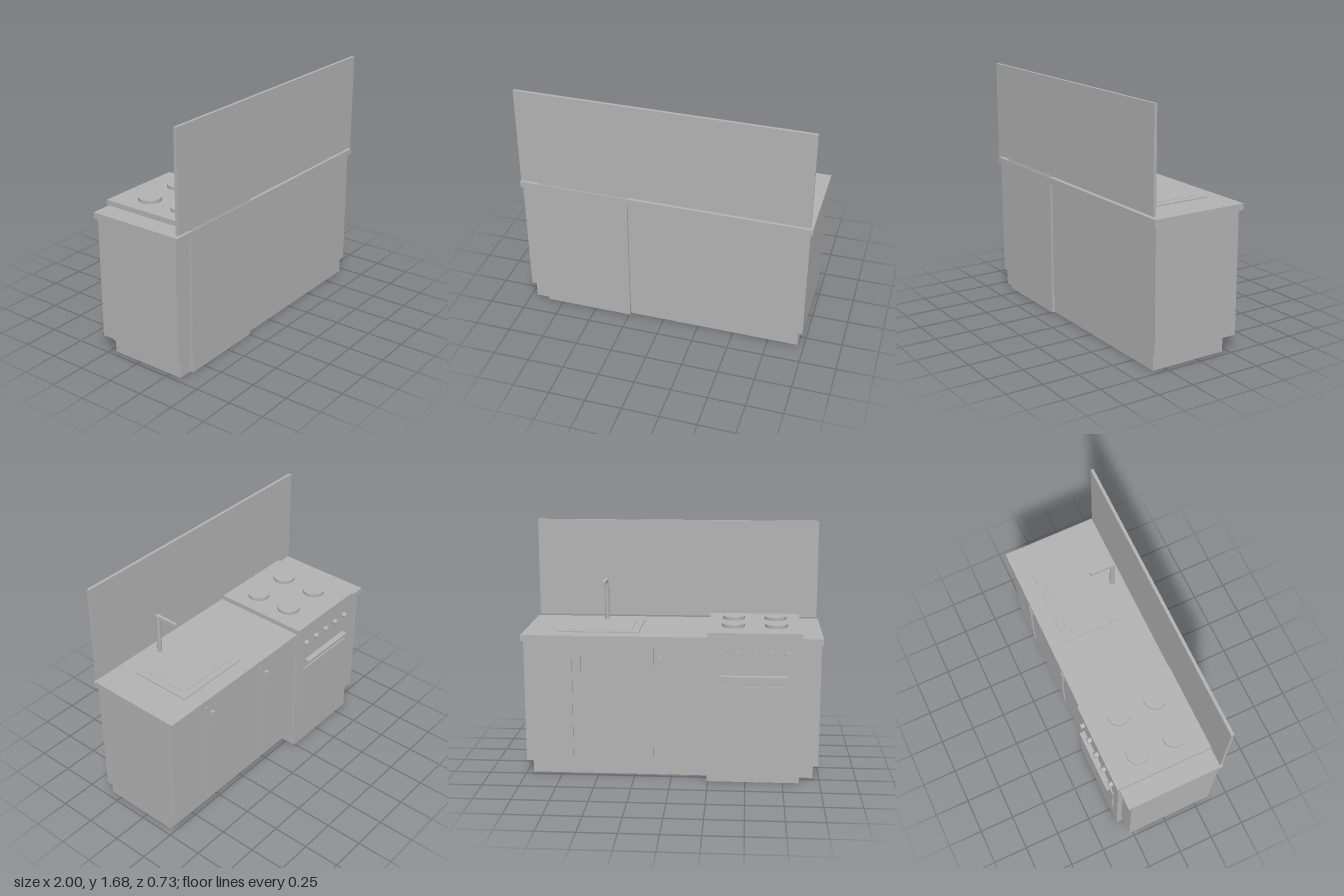
import * as THREE from 'three';

export function createModel() {
  const kitchen = new THREE.Group();
  kitchen.name = 'kitchenUnit';

  const grey = new THREE.MeshStandardMaterial({ color: 0xb2b2b2 });
  grey.name = 'grey';

  // Box given by its extents on each axis
  function box(name, [x0, x1], [y0, y1], [z0, z1], parent = kitchen) {
    const mesh = new THREE.Mesh(new THREE.BoxGeometry(x1 - x0, y1 - y0, z1 - z0), grey);
    mesh.position.set((x0 + x1) / 2, (y0 + y1) / 2, (z0 + z1) / 2);
    mesh.name = name;
    parent.add(mesh);
    return mesh;
  }

  // Upright cylinder centred at a point
  function cylinder(name, radius, height, x, y, z, sides, parent = kitchen) {
    const mesh = new THREE.Mesh(new THREE.CylinderGeometry(radius, radius, height, sides), grey);
    mesh.position.set(x, y, z);
    mesh.name = name;
    parent.add(mesh);
    return mesh;
  }

  // Cabinet run, the doors look towards -z
  box('plinth', [-0.96, 0.955], [0, 0.11], [-0.212, 0.336]);
  box('cabinet', [-0.99, 0.985], [0.11, 0.945], [-0.29, 0.345]);
  box('countertop', [-1, 1], [0.945, 0.988], [-0.315, 0.365]);
  box('backsplash', [-0.99, 0.985], [1.003, 1.683], [0.345, 0.365]);

  // Door divider strips, each with a handle beside it
  for (const x of [0.667, 0.122]) {
    box('doorStrip', [x - 0.006, x + 0.006], [0.147, 0.91], [-0.3, -0.288]);
    box('doorHandle', [x - 0.067, x - 0.043], [0.74, 0.85], [-0.313, -0.288]);
  }

  // Sink with a slightly raised inner plate
  const sink = new THREE.Group();
  sink.name = 'sink';
  kitchen.add(sink);
  box('sinkRim', [0.22, 0.767], [0.986, 0.996], [-0.207, 0.215], sink);
  box('sinkBasin', [0.27, 0.717], [0.99, 0.999], [-0.16, 0.17], sink);

  // Tap
  const tap = new THREE.Group();
  tap.name = 'tap';
  kitchen.add(tap);
  cylinder('tapPost', 0.016, 0.287, 0.492, 1.1315, 0.269, 24, tap);
  box('tapSpout', [0.481, 0.503], [1.254, 1.277], [0.107, 0.28], tap);

  // Stove
  const stove = new THREE.Group();
  stove.name = 'stove';
  kitchen.add(stove);
  const cx = -0.552;
  box('stoveBody', [cx - 0.309, cx + 0.309], [0, 0.997], [-0.325, 0.358], stove);
  box('cooktop', [cx - 0.311, cx + 0.311], [0.995, 1.024], [-0.33, 0.345], stove);
  box('ovenWindow', [cx - 0.243, cx + 0.243], [0.267, 0.662], [-0.334, -0.325], stove);
  box('ovenHandle', [cx - 0.219, cx + 0.219], [0.716, 0.737], [-0.364, -0.325], stove);

  for (const dx of [-0.143, 0.143]) {
    for (const z of [-0.109, 0.157]) {
      cylinder('burner', 0.076, 0.024, cx + dx, 1.034, z, 32, stove);
    }
  }

  // Row of control knobs
  for (let i = -2; i <= 2; i++) {
    const knob = cylinder('knob', 0.019, 0.03, cx + i * 0.11, 0.881, -0.339, 20, stove);
    knob.rotation.x = Math.PI / 2;
  }

  return kitchen;
}
